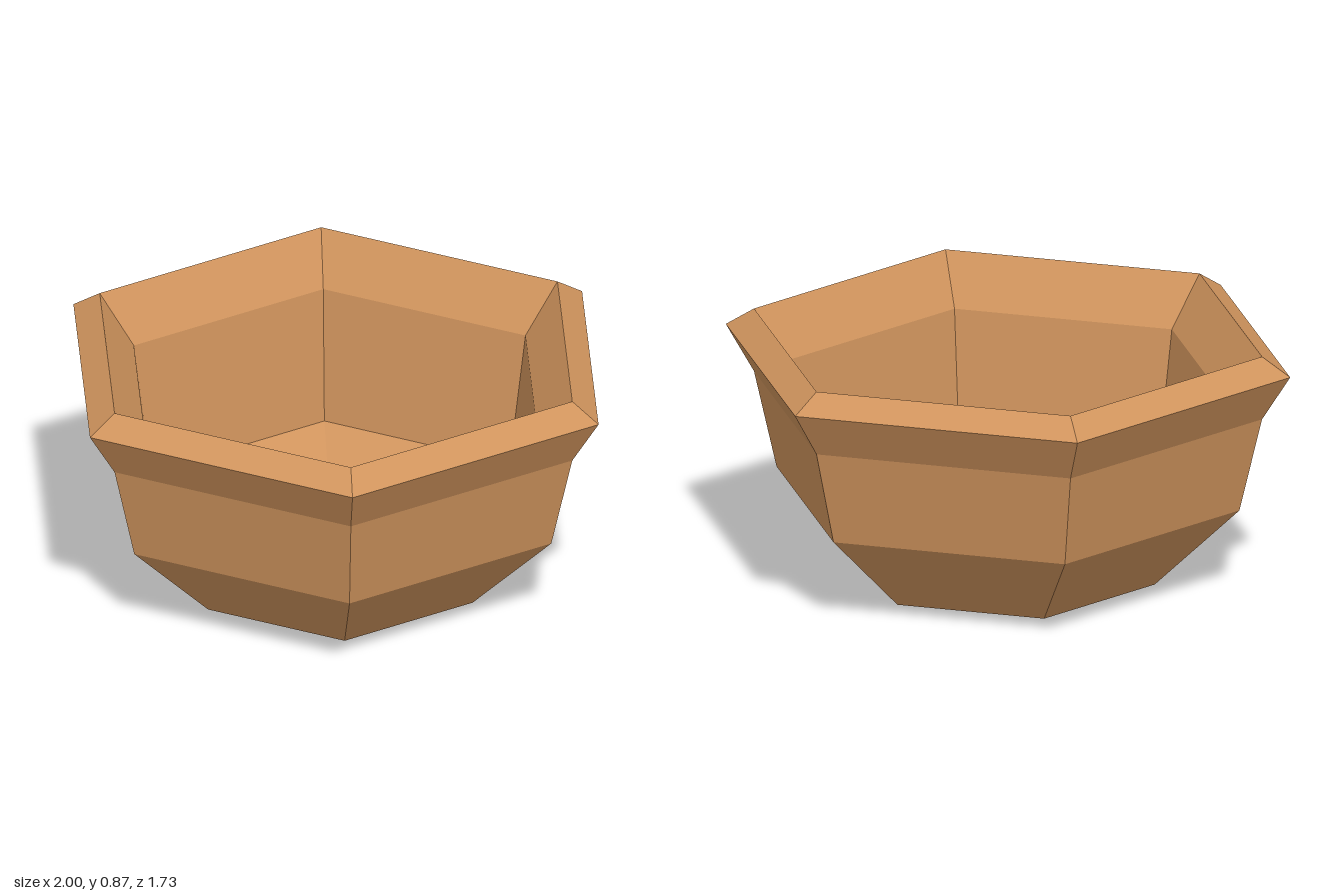
import * as THREE from 'three';

const clay = new THREE.MeshStandardMaterial({ color: 0xd0945d, flatShading: true });
clay.name = 'clay';

// Six-sided ring surface from [radius, height] pairs, corners on the x axis
function hexLathe(name, profile) {
  const points = profile.map(([r, y]) => new THREE.Vector2(r, y));
  const mesh = new THREE.Mesh(new THREE.LatheGeometry(points, 6, Math.PI / 2), clay);
  mesh.name = name;
  return mesh;
}

export function createModel() {
  const bowl = new THREE.Group();
  bowl.name = 'bowl';
  bowl.add(
    // Slightly domed base, sloping foot, steep wall and flare
    hexLathe('outerWall', [[0, 0], [0.52, 0.015], [0.82, 0.31], [0.9, 0.645], [1, 0.805]]),
    // Bevelled lip
    hexLathe('rim', [[1, 0.805], [0.9, 0.87]]),
    // Inside flare, wall and shallow floor
    hexLathe('innerWall', [[0.9, 0.87], [0.77, 0.7], [0.705, 0.23], [0.48, 0.13], [0, 0.12]]),
  );
  return bowl;
}
